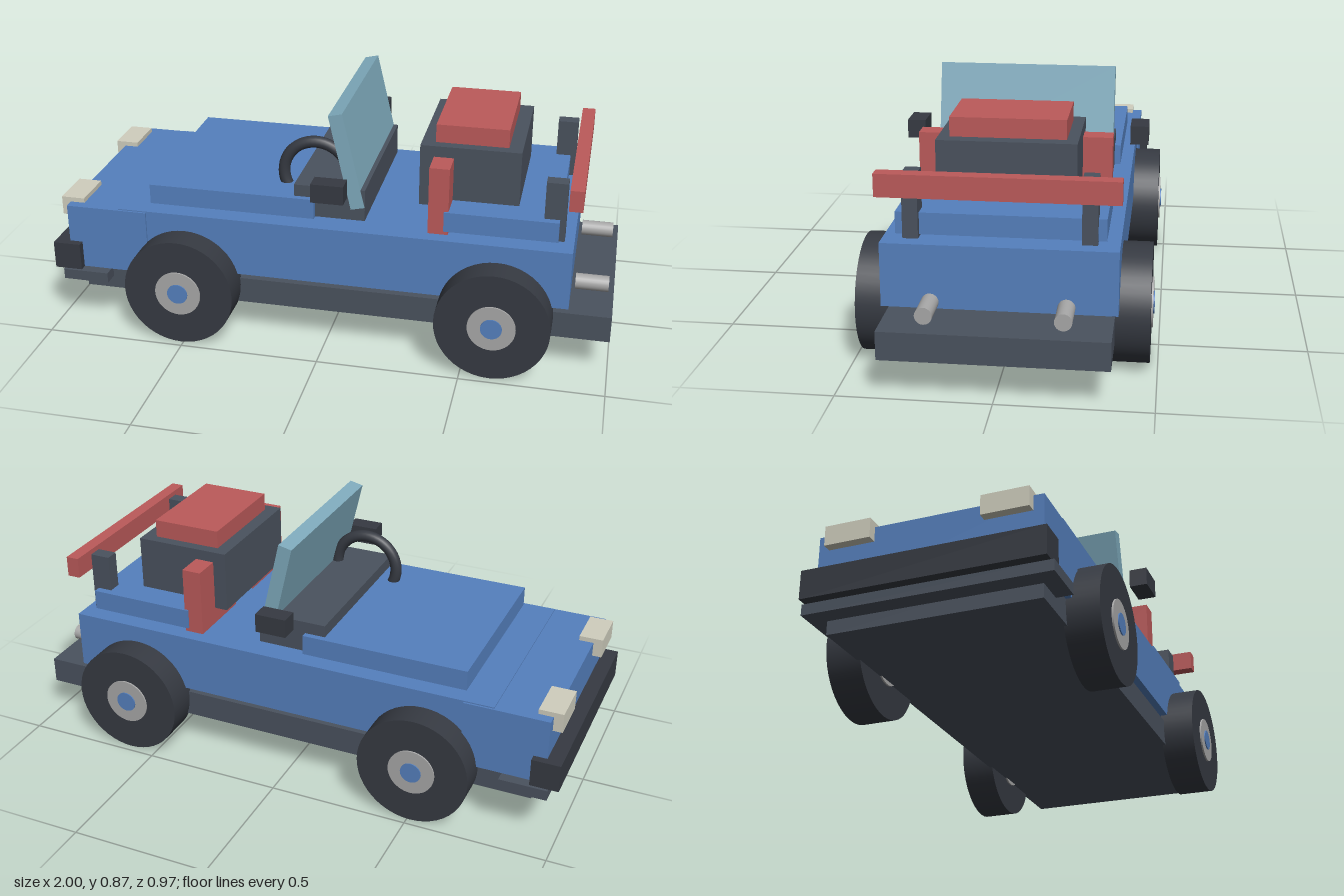
import * as THREE from 'three';

const mat = (color, extra = {}) => new THREE.MeshStandardMaterial({ color, ...extra });

export function createModel() {
  const car = new THREE.Group();
  car.name = 'buggy';
  const blue = mat(0x5580be), dark = mat(0x4a525e), black = mat(0x363a42);
  const red = mat(0xbc5a5a), glass = mat(0x7fabbd);
  const cream = mat(0xd0cebe), grey = mat(0xa8a8a8);

  const add = (name, geometry, material, x, y, z) => {
    const mesh = new THREE.Mesh(geometry, material);
    mesh.name = name;
    mesh.position.set(x, y, z);
    car.add(mesh);
    return mesh;
  };
  // box given by its limits on each axis
  const box = (name, material, [x0, x1], [y0, y1], [z0, z1]) =>
    add(name, new THREE.BoxGeometry(x1 - x0, y1 - y0, z1 - z0), material,
      (x0 + x1) / 2, (y0 + y1) / 2, (z0 + z1) / 2);
  // box centred across the car
  const wide = (name, material, x, y, half) => box(name, material, x, y, [-half, half]);
  // the same box on both sides
  const pair = (name, material, x, y, [z0, z1]) => {
    box(name + 'Near', material, x, y, [z0, z1]);
    box(name + 'Far', material, x, y, [-z1, -z0]);
  };

  // chassis and bodywork
  wide('chassis', dark, [-0.9, 1], [0.13, 0.225], 0.363);
  wide('body', blue, [-0.755, 0.853], [0.248, 0.46], 0.376);
  wide('nose', blue, [-0.947, -0.65], [0.217, 0.456], 0.383);
  wide('hood', blue, [-0.645, -0.045], [0.475, 0.547], 0.334);
  wide('rearDeck', blue, [0.41, 0.8], [0.475, 0.547], 0.334);
  wide('bumper', black, [-1, -0.9], [0.216, 0.316], 0.41);
  wide('bumperSkirt', dark, [-0.965, -0.797], [0.178, 0.216], 0.42);
  pair('headlight', cream, [-0.98, -0.895], [0.404, 0.473], [0.187, 0.347]);

  // cockpit
  wide('dashboard', dark, [-0.12, 0.132], [0.475, 0.59], 0.312);
  const windshield = add('windshield', new THREE.BoxGeometry(0.05, 0.35, 0.626), glass, 0.067, 0.69, 0);
  windshield.rotation.z = 0.23;
  pair('mirror', black, [-0.03, 0.083], [0.588, 0.655], [0.373, 0.438]);
  add('steeringWheel', new THREE.TorusGeometry(0.118, 0.021, 16, 48), black, -0.067, 0.59, 0.195);
  pair('seatBack', red, [0.355, 0.425], [0.46, 0.704], [0.07, 0.327]);

  // engine and rear wing
  wide('engineBox', dark, [0.307, 0.655], [0.52, 0.743], 0.228);
  wide('engineLid', red, [0.355, 0.607], [0.743, 0.808], 0.19);
  pair('wingPost', dark, [0.747, 0.82], [0.467, 0.68], [0.257, 0.307]);
  wide('wing', red, [0.828, 0.875], [0.617, 0.692], 0.382);

  for (const side of [1, -1]) {
    // exhaust pipes
    const pipe = add('exhaust', new THREE.CylinderGeometry(0.028, 0.028, 0.115, 24), grey, 0.923, 0.275, side * 0.215);
    pipe.rotation.z = Math.PI / 2;

    // wheels: tyre, rim and hub cap, each slightly wider than the last
    for (const x of [-0.51, 0.604]) {
      const wheel = new THREE.Group();
      wheel.name = 'wheel';
      wheel.position.set(x, 0.199, side * 0.413);
      wheel.rotation.x = Math.PI / 2;
      for (const [name, r, w, m] of [['tyre', 0.199, 0.122, black], ['rim', 0.083, 0.134, grey], ['hubCap', 0.037, 0.142, blue]]) {
        const part = new THREE.Mesh(new THREE.CylinderGeometry(r, r, w, 48), m);
        part.name = name;
        wheel.add(part);
      }
      car.add(wheel);
    }
  }
  return car;
}
